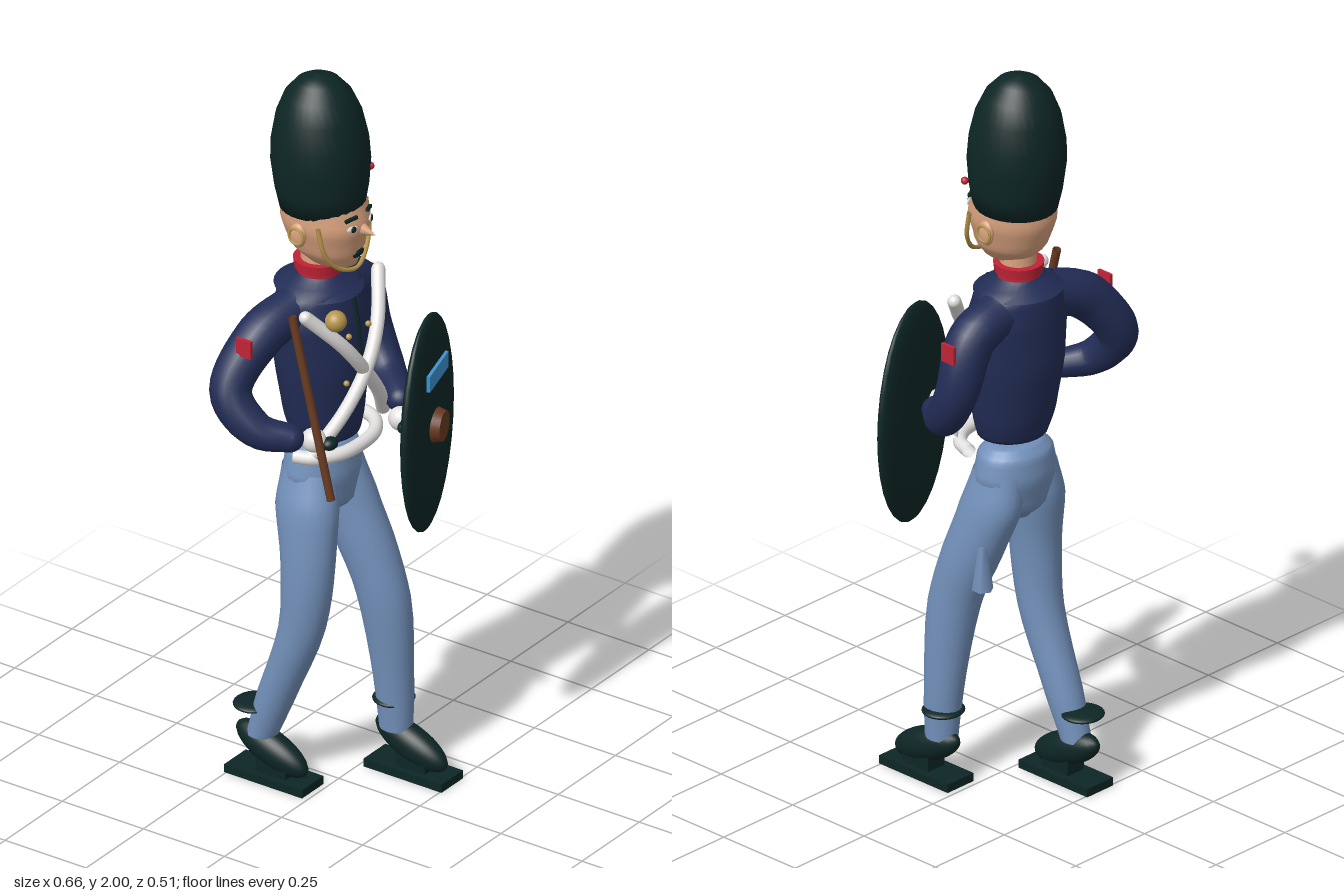
import * as THREE from 'three';

const mat = (name, color) => {
  const m = new THREE.MeshStandardMaterial({ color, side: THREE.DoubleSide });
  m.name = name;
  return m;
};
const V = (p) => new THREE.Vector3(...p);

// Smooth skin over horizontal ellipses [y, xc, rx, zc, rz], listed bottom to top
function loft(rings, sides = 24, steps = 4) {
  const cy = new THREE.CatmullRomCurve3(rings.map((r) => new THREE.Vector3(r[0], r[1], r[3])), false, 'centripetal');
  const pos = [], idx = [], n = (rings.length - 1) * steps;
  for (let i = 0; i <= n; i++) {
    const c = cy.getPoint(i / n);
    const k = Math.min(Math.floor(i / steps), rings.length - 2), f = i / steps - k;
    const s = f * f * (3 - 2 * f) * 0.4 + f * 0.6;
    const rx = THREE.MathUtils.lerp(rings[k][2], rings[k + 1][2], s);
    const rz = THREE.MathUtils.lerp(rings[k][4], rings[k + 1][4], s);
    for (let j = 0; j < sides; j++) {
      const a = (j / sides) * Math.PI * 2;
      pos.push(c.y + rx * Math.cos(a), c.x, c.z + rz * Math.sin(a));
      if (i < n) {
        const p = i * sides + j, q = i * sides + ((j + 1) % sides);
        idx.push(p, p + sides, q, q, p + sides, q + sides);
      }
    }
  }
  const g = new THREE.BufferGeometry();
  g.setAttribute('position', new THREE.Float32BufferAttribute(pos, 3));
  g.setIndex(idx);
  g.computeVertexNormals();
  return g;
}

// Tube through points whose radius changes along its length
function limb(points, radii, segs = 28, sides = 16) {
  const curve = new THREE.CatmullRomCurve3(points.map(V));
  const g = new THREE.TubeGeometry(curve, segs, 1, sides);
  const p = g.attributes.position, v = new THREE.Vector3();
  for (let i = 0; i <= segs; i++) {
    const c = curve.getPointAt(i / segs), t = (i / segs) * (radii.length - 1);
    const k = Math.min(Math.floor(t), radii.length - 2);
    const r = THREE.MathUtils.lerp(radii[k], radii[k + 1], t - k);
    for (let j = 0; j <= sides; j++) {
      const n = i * (sides + 1) + j;
      v.fromBufferAttribute(p, n).sub(c).multiplyScalar(r).add(c);
      p.setXYZ(n, v.x, v.y, v.z);
    }
  }
  return g;
}

export function createModel() {
  const root = new THREE.Group();
  const green = mat('dark green', 0x0d2625), navy = mat('navy', 0x222d56), trouser = mat('trouser blue', 0x7391bb);
  const red = mat('red', 0xc02336), skin = mat('skin', 0xd9a27e), gold = mat('gold', 0xb8974c);
  const white = mat('white', 0xe4e2e0), brown = mat('brown', 0x683a20), sky = mat('sky blue', 0x3d92d0);

  const add = (name, geo, m, p = [0, 0, 0], rot = [0, 0, 0], parent = root) => {
    const mesh = new THREE.Mesh(geo, m);
    mesh.name = name;
    mesh.position.set(...p);
    mesh.rotation.set(...rot);
    parent.add(mesh);
    return mesh;
  };
  const ball = (name, m, p, r, rot, parent) => {
    const b = add(name, new THREE.SphereGeometry(1, 24, 16), m, p, rot, parent);
    b.scale.set(...r);
    return b;
  };
  const cx = 0.013;

  // Tall fur hat
  const hatProfile = [[0, 1.63], [0.107, 1.632], [0.118, 1.69], [0.125, 1.76], [0.122, 1.82], [0.108, 1.89],
    [0.085, 1.945], [0.055, 1.98], [0.028, 1.995], [0, 2]].map(([x, y]) => new THREE.Vector2(x, y - 1.63));
  const hat = add('hat', new THREE.LatheGeometry(hatProfile, 32), green, [cx, 1.63, -0.06], [-0.04, 0, 0]);
  hat.scale.z = 1.03;
  ball('hatBadge', red, [0.124, 1.71, 0.01], [0.01, 0.01, 0.01]);

  // Head and face
  add('head', loft([[1.47, cx, 0.005, -0.02, 0.01], [1.485, cx, 0.05, -0.03, 0.07], [1.53, cx, 0.086, -0.045, 0.1],
    [1.6, cx, 0.106, -0.05, 0.12], [1.66, cx, 0.105, -0.058, 0.108]]), skin);
  add('neck', new THREE.CylinderGeometry(0.045, 0.05, 0.12, 20), skin, [cx, 1.47, -0.07]);
  add('nose', new THREE.ConeGeometry(0.027, 0.065, 12), skin, [cx, 1.593, 0.072], [Math.PI / 2 + 0.15, 0, 0]);
  ball('mouth', green, [cx, 1.523, 0.05], [0.022, 0.013, 0.009], [0.35, 0, 0]);
  for (const s of [-1, 1]) {
    ball('eyeWhite', white, [cx + s * 0.04, 1.61, 0.061], [0.016, 0.009, 0.004], [0, s * 0.38, 0]);
    ball('pupil', green, [cx + s * 0.039, 1.61, 0.064], [0.008, 0.009, 0.004], [0, s * 0.38, 0]);
    add('eyebrow', new THREE.BoxGeometry(0.036, 0.008, 0.008), green, [cx + s * 0.038, 1.636, 0.056], [0, s * 0.38, s * -0.15]);
    ball('ear', skin, [cx + s * 0.106, 1.585, -0.06], [0.013, 0.034, 0.024]);
    add('earring', new THREE.TorusGeometry(0.022, 0.004, 6, 18), gold, [cx + s * 0.115, 1.585, -0.06], [0, Math.PI / 2, 0]);
  }
  add('chinStrap', new THREE.TubeGeometry(new THREE.CatmullRomCurve3([[-0.092, 1.62, 0], [-0.085, 1.55, 0.015],
    [-0.05, 1.5, 0.03], [cx, 1.478, 0.045], [0.076, 1.5, 0.03], [0.111, 1.55, 0.015], [0.118, 1.62, 0]].map(V)), 32, 0.006, 6), gold);

  // Coat with collar and shoulder flap
  add('coat', loft([[0.985, cx, 0.01, -0.05, 0.01], [0.99, cx, 0.095, -0.05, 0.085], [1.06, cx, 0.115, -0.055, 0.1],
    [1.2, cx, 0.133, -0.06, 0.118], [1.32, cx, 0.143, -0.065, 0.112], [1.4, cx, 0.122, -0.07, 0.1],
    [1.44, cx, 0.06, -0.07, 0.06]]), navy);
  add('shoulderFlap', new THREE.CylinderGeometry(0.06, 0.115, 0.035, 28), navy, [cx, 1.418, -0.07], [0.04, 0, 0]);
  add('collar', new THREE.CylinderGeometry(0.065, 0.062, 0.026, 24), red, [cx, 1.462, -0.072]);
  add('collarBase', new THREE.CylinderGeometry(0.055, 0.055, 0.03, 24), red, [cx, 1.437, -0.072]);
  add('coatSeam', new THREE.TubeGeometry(new THREE.CatmullRomCurve3([[cx, 1.4, 0.034], [cx, 1.32, 0.05],
    [cx, 1.21, 0.059]].map(V)), 12, 0.006, 6), green);
  for (const [x, y] of [[-0.03, 1.3], [0.055, 1.3], [-0.04, 1.17], [0.065, 1.17]]) ball('button', gold, [x, y, 0.052], [0.008, 0.008, 0.008]);

  // Crossed straps and belt
  const strap = (name, pts, r) => add(name, limb(pts, [r, r]), white);
  strap('strapLeft', [[0.172, 1.39, 0], [0.09, 1.29, 0.055], [0.02, 1.2, 0.073], [-0.06, 1.1, 0.06], [-0.145, 1, 0.02]], 0.018);
  strap('strapRight', [[-0.146, 1.39, 0], [-0.064, 1.29, 0.055], [0.006, 1.2, 0.07], [0.086, 1.1, 0.06], [0.165, 1, 0.02]], 0.018);
  strap('belt', [[-0.14, 0.977, -0.04], [-0.12, 0.977, 0.01], [-0.06, 0.977, 0.05], [cx, 0.977, 0.06],
    [0.086, 0.977, 0.05], [0.14, 0.977, 0.01], [0.16, 0.977, -0.04]], 0.018);
  ball('strapEnd', white, [0.172, 1.39, 0], [0.017, 0.017, 0.017]);
  ball('strapEnd', white, [-0.146, 1.39, 0], [0.017, 0.017, 0.017]);

  // Arms, gloves and sleeve patches
  const arm = (side, pts, hand, thumb, patch) => {
    const g = new THREE.Group();
    g.name = side + 'Arm';
    root.add(g);
    add(side + 'Sleeve', limb(pts, [0.06, 0.062, 0.056, 0.05, 0.037]), navy, undefined, undefined, g);
    ball(side + 'Cuff', navy, pts[pts.length - 1], [0.037, 0.036, 0.037], undefined, g);
    ball(side + 'Glove', white, hand, [0.03, 0.032, 0.034], undefined, g);
    ball(side + 'Grip', green, thumb, [0.024, 0.017, 0.02], undefined, g);
    add(side + 'Patch', new THREE.BoxGeometry(0.009, 0.05, 0.045), red, patch, undefined, g);
  };
  arm('right', [[-0.07, 1.36, -0.085], [-0.18, 1.32, -0.115], [-0.275, 1.19, -0.14], [-0.265, 1.1, -0.065], [-0.215, 1.075, 0]],
    [-0.173, 1.065, 0.045], [-0.157, 1.06, 0.083], [-0.268, 1.325, -0.103]);
  arm('left', [[0.1, 1.36, -0.085], [0.19, 1.32, -0.08], [0.235, 1.18, -0.07], [0.215, 1.08, -0.005], [0.155, 1.05, 0.08]],
    [0.09, 1.035, 0.128], [0.068, 1.03, 0.158], [0.273, 1.305, -0.077]);

  // Trousers
  add('hips', loft([[0.76, cx, 0.03, -0.06, 0.04], [0.8, cx, 0.085, -0.057, 0.08], [0.88, cx, 0.12, -0.06, 0.092],
    [0.94, cx, 0.108, -0.06, 0.085], [0.967, cx, 0.08, -0.06, 0.06], [0.975, cx, 0.005, -0.06, 0.005]]), trouser);
  add('leftLeg', loft([[0.12, 0.13, 0.04, 0.085, 0.045], [0.25, 0.127, 0.048, 0.08, 0.053], [0.5, 0.112, 0.062, 0.058, 0.073],
    [0.66, 0.1, 0.068, 0.005, 0.085], [0.8, 0.085, 0.066, -0.045, 0.09], [0.9, 0.07, 0.055, -0.06, 0.075]]), trouser);
  add('rightLeg', loft([[0.12, -0.093, 0.038, -0.17, 0.042], [0.25, -0.092, 0.048, -0.125, 0.053], [0.46, -0.09, 0.056, -0.05, 0.062],
    [0.64, -0.086, 0.061, -0.035, 0.073], [0.8, -0.067, 0.066, -0.05, 0.088], [0.9, -0.045, 0.055, -0.06, 0.075]]), trouser);
  add('pouch', new THREE.CylinderGeometry(0.012, 0.028, 0.12, 6), trouser, [0.14, 0.65, -0.068]);

  // Shoes with soles and ankle bands
  const shoe = (side, x, z, bandZ) => {
    add(side + 'Sole', new THREE.BoxGeometry(0.094, 0.023, 0.24), green, [x, 0.0115, z]);
    add(side + 'Heel', new THREE.BoxGeometry(0.06, 0.05, 0.09), green, [x, 0.04, z + 0.01]);
    ball(side + 'Shoe', green, [x, 0.085, z - 0.005], [0.041, 0.046, 0.115], [0.38, 0, 0]);
    ball(side + 'AnkleBand', green, [x, 0.199, bandZ], [0.057, 0.013, 0.054]);
  };
  shoe('left', 0.134, 0.135, 0.075);
  shoe('right', -0.093, -0.135, -0.195);

  // Oval shield
  const shield = new THREE.Group();
  shield.name = 'shield';
  shield.position.set(0.147, 1.012, 0.168);
  shield.rotation.y = 0.285;
  root.add(shield);
  ball('shieldBody', green, [0, 0, 0], [0.186, 0.303, 0.033], undefined, shield);
  add('shieldBoss', new THREE.CylinderGeometry(0.04, 0.047, 0.025, 24), brown, [-0.022, 0.01, 0.042], [Math.PI / 2, 0, 0], shield);
  add('shieldPlate', new THREE.BoxGeometry(0.145, 0.045, 0.009), sky, [-0.022, 0.163, 0.036], undefined, shield);

  // Stick and its knob
  add('stick', limb([[-0.19, 1.41, -0.01], [-0.19, 0.92, 0.11]], [0.011, 0.011], 4, 12), brown);
  ball('knob', gold, [-0.19, 1.44, 0.125], [0.028, 0.028, 0.028]);
  return root;
}
